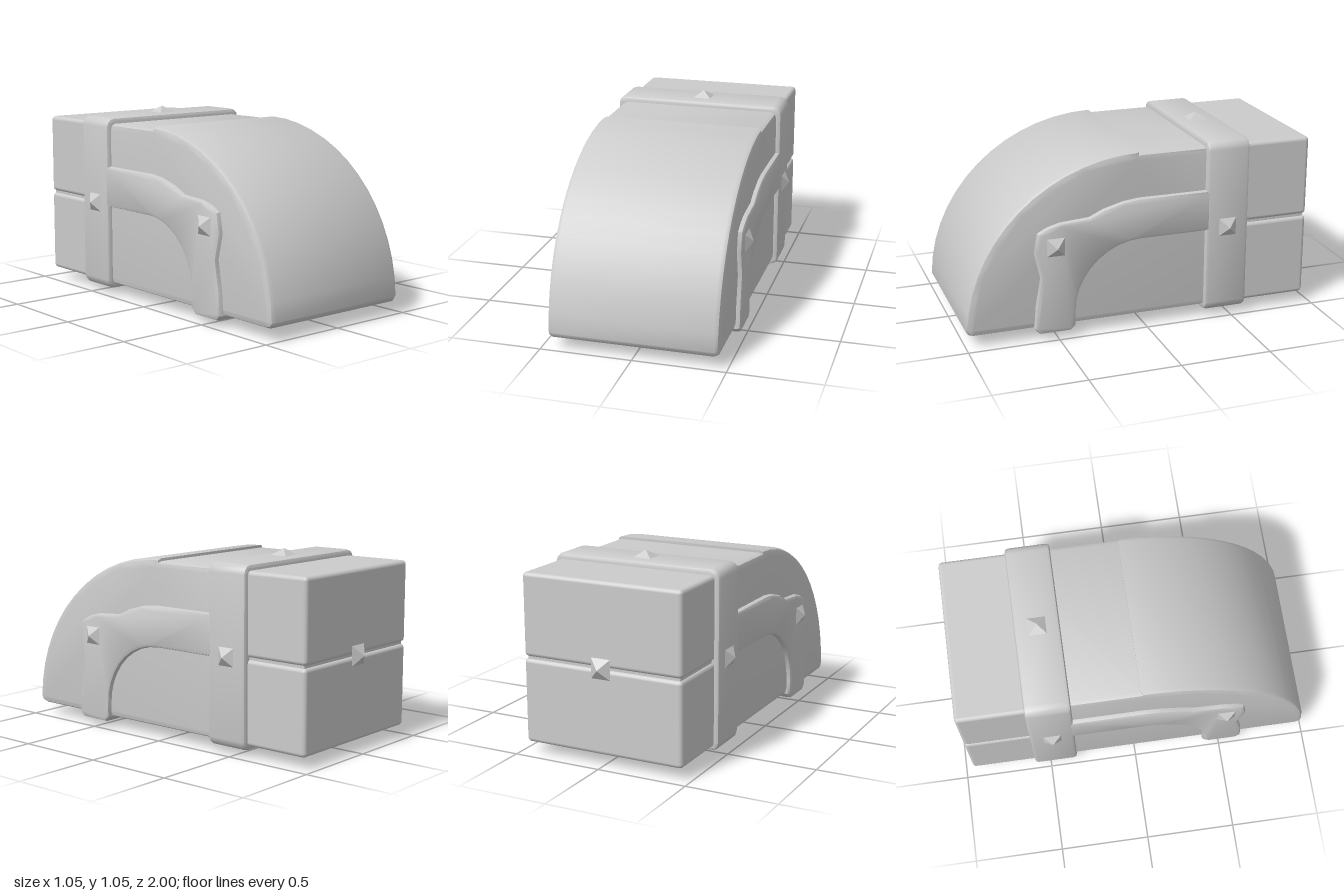
import * as THREE from 'three';
import { toCreasedNormals } from 'three/addons/utils/BufferGeometryUtils.js';
import { RoundedBoxGeometry } from 'three/addons/geometries/RoundedBoxGeometry.js';

const material = new THREE.MeshStandardMaterial({ color: 0xcccccc });

// Extrude a closed outline with bevels that stay inside it; centred on its depth
function bevelled(points, depth, bevelSize, bevelThickness) {
  const shape = new THREE.Shape(points.map(([a, b]) => new THREE.Vector2(a, b)));
  const geometry = new THREE.ExtrudeGeometry(shape, {
    depth: depth - 2 * bevelThickness,
    bevelEnabled: true,
    bevelSize,
    bevelThickness,
    bevelOffset: -bevelSize,
    bevelSegments: 2,
  });
  geometry.translate(0, 0, bevelThickness - depth / 2);
  return toCreasedNormals(geometry, 0.75);
}

// Side outline (z, y) extruded across the width
const acrossWidth = (points, width, size, thickness) =>
  bevelled(points, width, size, thickness).rotateY(-Math.PI / 2);

export function createModel() {
  const model = new THREE.Group();
  const add = (name, geometry, x = 0, y = 0, z = 0) => {
    const mesh = new THREE.Mesh(geometry, material);
    mesh.name = name;
    mesh.position.set(x, y, z);
    model.add(mesh);
    return mesh;
  };

  // Body: quarter-arch front with a small step down to the flat top
  const body = [[-0.57, 0.067], [0.955, 0.067], [0.984, 0.076], [1, 0.103]];
  for (let i = 1; i <= 14; i++) {
    const a = THREE.MathUtils.lerp(0.035, Math.PI / 2, i / 14);
    body.push([0.03 + 0.97 * Math.cos(a), 0.07 + 0.93 * Math.sin(a)]);
  }
  body.push([0.03, 0.985], [-0.57, 0.985]);
  add('archedBody', acrossWidth(body, 0.92, 0.034, 0.028));

  // Rear: two stacked blocks with a narrow groove between them
  add('upperRearBlock', new RoundedBoxGeometry(0.92, 0.448, 0.417, 2, 0.022), 0, 0.761, -0.7485);
  add('lowerRearBlock', new RoundedBoxGeometry(0.92, 0.458, 0.417, 2, 0.022), 0, 0.296, -0.7485);
  add('rearCore', new THREE.BoxGeometry(0.89, 0.8, 0.38), 0, 0.53, -0.75);

  // Upright strap wrapped round the body
  const w = 0.488, bottom = 0.04, top = 1.018, r = 0.05, strap = [];
  [[1, bottom + r, -90], [1, top - r, 0], [-1, top - r, 90], [-1, bottom + r, 180]].forEach(([sx, cy, start]) => {
    for (let i = 0; i <= 3; i++) {
      const a = THREE.MathUtils.degToRad(start + i * 30);
      strap.push([sx * (w - r) + r * Math.cos(a), cy + r * Math.sin(a)]);
    }
  });
  add('uprightStrap', bevelled(strap, 0.247, 0.018, 0.02), 0, 0, -0.467);

  // Curved strap: runs along both sides, bends down and passes under the body
  const curved = [[0.6, 0.04], [0.43, 0.04], [0.4, 0.07]];
  for (let i = 0; i <= 9; i++) {
    const a = (i / 9) * Math.PI / 2;
    curved.push([0.03 + 0.37 * Math.cos(a), 0.145 + 0.37 * Math.sin(a)]);
  }
  curved.push(
    [-0.37, 0.515], [-0.37, 0.745], [0.04, 0.745], [0.13, 0.735], [0.24, 0.705],
    [0.32, 0.668], [0.48, 0.657], [0.55, 0.638], [0.605, 0.61], [0.624, 0.5],
    [0.592, 0.36], [0.62, 0.2], [0.63, 0.07],
  );
  add('curvedStrap', acrossWidth(curved, 0.976, 0.02, 0.024));

  // Four-sided pointed studs, built pointing up and turned to face outwards
  const stud = new THREE.ConeGeometry(0.0778, 0.04, 4, 1).toNonIndexed();
  stud.rotateY(Math.PI / 4).translate(0, 0.016, 0);
  stud.computeVertexNormals();
  const up = new THREE.Vector3(0, 1, 0);
  const addStud = (name, x, y, z, nx, ny, nz) =>
    add(name, stud, x, y, z).quaternion.setFromUnitVectors(up, new THREE.Vector3(nx, ny, nz));

  for (const s of [1, -1]) {
    const side = s > 0 ? 'left' : 'right';
    addStud(side + 'UprightStrapStud', s * 0.488, 0.53, -0.467, s, 0, 0);
    addStud(side + 'CurvedStrapStud', s * 0.488, 0.53, 0.51, s, 0, 0);
  }
  addStud('topStud', 0, 1.018, -0.467, 0, 1, 0);
  addStud('rearBottomStud', 0, 0.04, -0.467, 0, -1, 0);
  addStud('frontBottomStud', 0, 0.04, 0.51, 0, -1, 0);
  addStud('backStud', 0, 0.53, -0.962, 0, 0, -1);

  return model;
}
